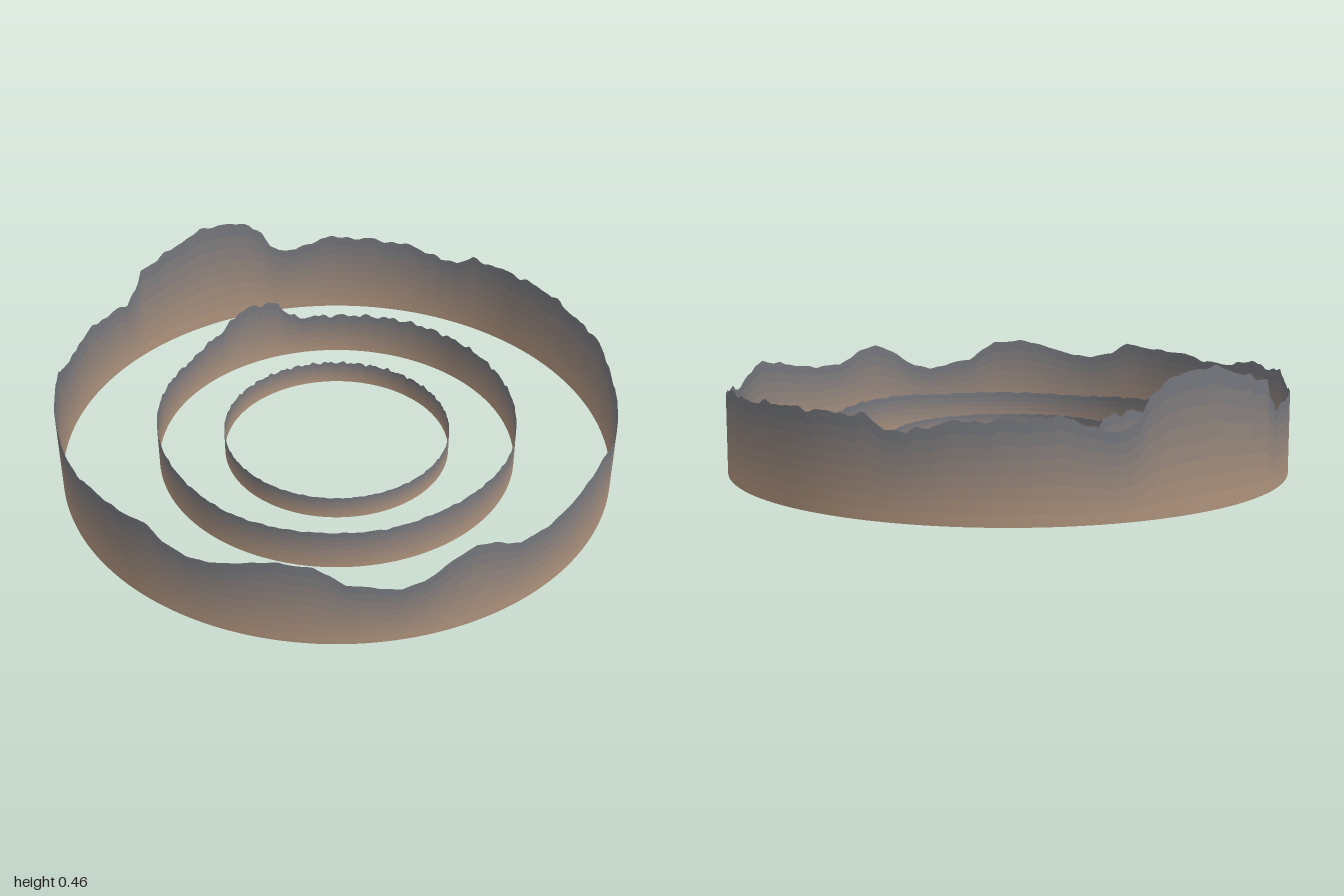
import * as THREE from 'three';

// Skyline of the outer ring: [degrees from +z towards +x, height]
const OUTER = [
  [0, .32], [3, .29], [6, .25], [11, .235], [15.7, .215], [20, .235], [26, .3], [30, .33], [34, .31], [40, .262],
  [48, .265], [53, .28], [60, .305], [67, .325], [72, .3], [76, .27], [80, .25], [84, .27], [96, .275], [102, .29],
  [107, .32], [120, .31], [127, .325], [145, .325], [151, .325], [155, .29], [159, .28], [164, .31], [168, .32],
  [180, .33], [188, .33], [192, .29], [196, .28], [200, .31], [202, .37], [205, .43], [210, .445], [215, .46],
  [221, .435], [226, .41], [231, .39], [234, .38], [235.5, .32], [239, .275], [246, .285], [254, .3], [260, .28],
  [268, .29], [272, .33], [279, .31], [288, .325], [297, .29], [305, .29], [311, .31], [320, .315], [327, .33],
  [331, .29], [336, .265], [343, .28], [348, .31], [354, .33], [360, .32],
];
// Middle ring: an even wall with one raised stretch
const MIDDLE = [
  [0, .15], [20, .15], [35, .16], [55, .16], [80, .145], [100, .165], [125, .17], [160, .175], [185, .165], [198, .165],
  [203, .21], [205, .25], [215, .265], [221, .25], [227, .2], [235, .18], [242, .16], [265, .165], [300, .165], [330, .145], [360, .15],
];
const INNER = [[0, .085], [90, .09], [180, .088], [270, .092], [360, .085]];

// Linear interpolation along a skyline
function heightAt(profile, deg) {
  const i = Math.max(1, profile.findIndex(([a]) => a >= deg - 1e-6));
  const [a0, h0] = profile[i - 1], [a1, h1] = profile[i];
  return THREE.MathUtils.lerp(h0, h1, (deg - a0) / (a1 - a0));
}

// Small periodic jagged ripple, calmer at the front
function ripple(deg, seed) {
  const t = THREE.MathUtils.degToRad(deg);
  const calm = 0.65 - 0.35 * Math.cos(t);
  return calm * (Math.sin(43 * t + seed) + 0.7 * Math.sin(71 * t + 2.3 * seed) + 0.5 * Math.sin(103 * t + seed * seed)) / 2.2;
}

const SEGMENTS = 360, BANDS = 8;
const FOOT = new THREE.Color(0xb0937b), CREST = new THREE.Color(0x6f747c);

// Thin upright ring with a ragged top, coloured in bands from foot to crest
function ridgeRing(name, radius, base, profile, rough, seed) {
  const ring = new THREE.Group();
  ring.name = name;
  for (let b = 0; b < BANDS; b++) {
    const geometry = new THREE.CylinderGeometry(radius, radius, 1, SEGMENTS, 1, true);
    const pos = geometry.attributes.position;
    for (let i = 0; i < pos.count; i++) {
      const deg = (i % (SEGMENTS + 1)) * 360 / SEGMENTS;
      const height = heightAt(profile, deg) + rough * ripple(deg, seed);
      pos.setY(i, base + height * (pos.getY(i) > 0 ? b + 1 : b) / BANDS);
    }
    const color = FOOT.clone().lerp(CREST, (b + 0.5) / BANDS);
    const mesh = new THREE.Mesh(geometry, new THREE.MeshStandardMaterial({ color, side: THREE.DoubleSide }));
    mesh.name = `${name}Band${b + 1}`;
    ring.add(mesh);
  }
  return ring;
}

export function createModel() {
  const model = new THREE.Group();
  model.name = 'mountainRings';
  model.add(
    ridgeRing('outerRidge', 1, 0, OUTER, 0.012, 1.3),
    ridgeRing('middleRidge', 0.65, 0.01, MIDDLE, 0.012, 2.9),
    ridgeRing('innerRidge', 0.41, 0.025, INNER, 0.009, 4.1),
  );
  return model;
}
